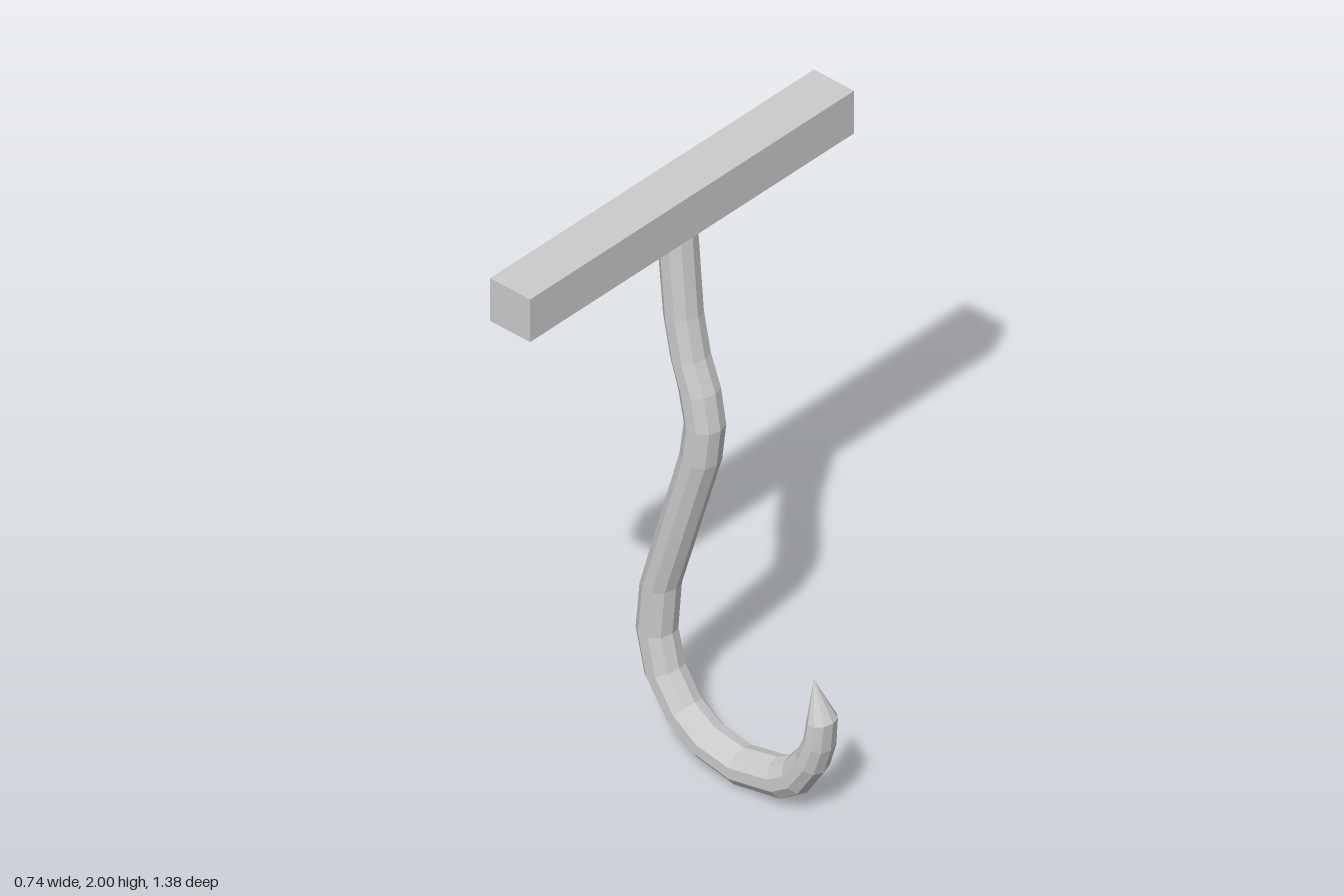
import * as THREE from 'three';

const SIDES = 10;
const Z_MID = -0.022;

// Each section: outer edge x, y, inner edge x, y, half depth in z
const SECTIONS = [
  [-0.297, 1.88, -0.177, 1.88, 0.062],
  [-0.265, 1.54, -0.152, 1.56, 0.062],
  [-0.237, 1.40, -0.125, 1.425, 0.062],
  [-0.208, 1.305, -0.085, 1.32, 0.062],
  [-0.186, 1.20, -0.065, 1.20, 0.062],
  [-0.202, 1.085, -0.081, 1.07, 0.063],
  [-0.356, 0.55, -0.237, 0.56, 0.063],
  [-0.371, 0.39, -0.251, 0.395, 0.064],
  [-0.335, 0.235, -0.225, 0.285, 0.064],
  [-0.25, 0.115, -0.165, 0.195, 0.064],
  [-0.13, 0.035, -0.09, 0.145, 0.064],
  [0.02, 0.005, 0.02, 0.128, 0.064],
  [0.20, 0.04, 0.15, 0.158, 0.063],
  [0.27, 0.09, 0.20, 0.187, 0.062],
  [0.333, 0.19, 0.25, 0.25, 0.06],
  [0.36, 0.28, 0.277, 0.31, 0.056],
  [0.369, 0.38, 0.285, 0.37, 0.05],
  [0.295, 0.50, 0.295, 0.50, 0], // point of the hook
];

// Joins the sections into a faceted bent rod
function rodGeometry(sections) {
  const positions = [];
  const index = [];
  sections.forEach(([ox, oy, ix, iy, depth], i) => {
    for (let j = 0; j < SIDES; j++) {
      const a = (j / SIDES) * Math.PI * 2;
      const c = Math.cos(a) / 2;
      positions.push(
        (ox + ix) / 2 + (ox - ix) * c,
        (oy + iy) / 2 + (oy - iy) * c,
        Z_MID + depth * Math.sin(a)
      );
      if (i === sections.length - 1) continue;
      const k = (j + 1) % SIDES;
      const p = i * SIDES + j, q = i * SIDES + k;
      index.push(p, p + SIDES, q);
      if (i < sections.length - 2) index.push(q, p + SIDES, q + SIDES);
    }
  });
  const geometry = new THREE.BufferGeometry();
  geometry.setAttribute('position', new THREE.Float32BufferAttribute(positions, 3));
  geometry.setIndex(index);
  const flat = geometry.toNonIndexed();
  flat.computeVertexNormals();
  return flat;
}

export function createModel() {
  const group = new THREE.Group();
  const material = new THREE.MeshStandardMaterial({ color: 0xcccccc, flatShading: true });

  // Square crossbar handle
  const handle = new THREE.Mesh(new THREE.BoxGeometry(0.155, 0.15, 1.376), material);
  handle.name = 'handle';
  handle.position.set(-0.233, 1.925, 0);
  group.add(handle);

  // Curved shank, bend and point
  const hook = new THREE.Mesh(rodGeometry(SECTIONS), material);
  hook.name = 'hook';
  group.add(hook);

  return group;
}
